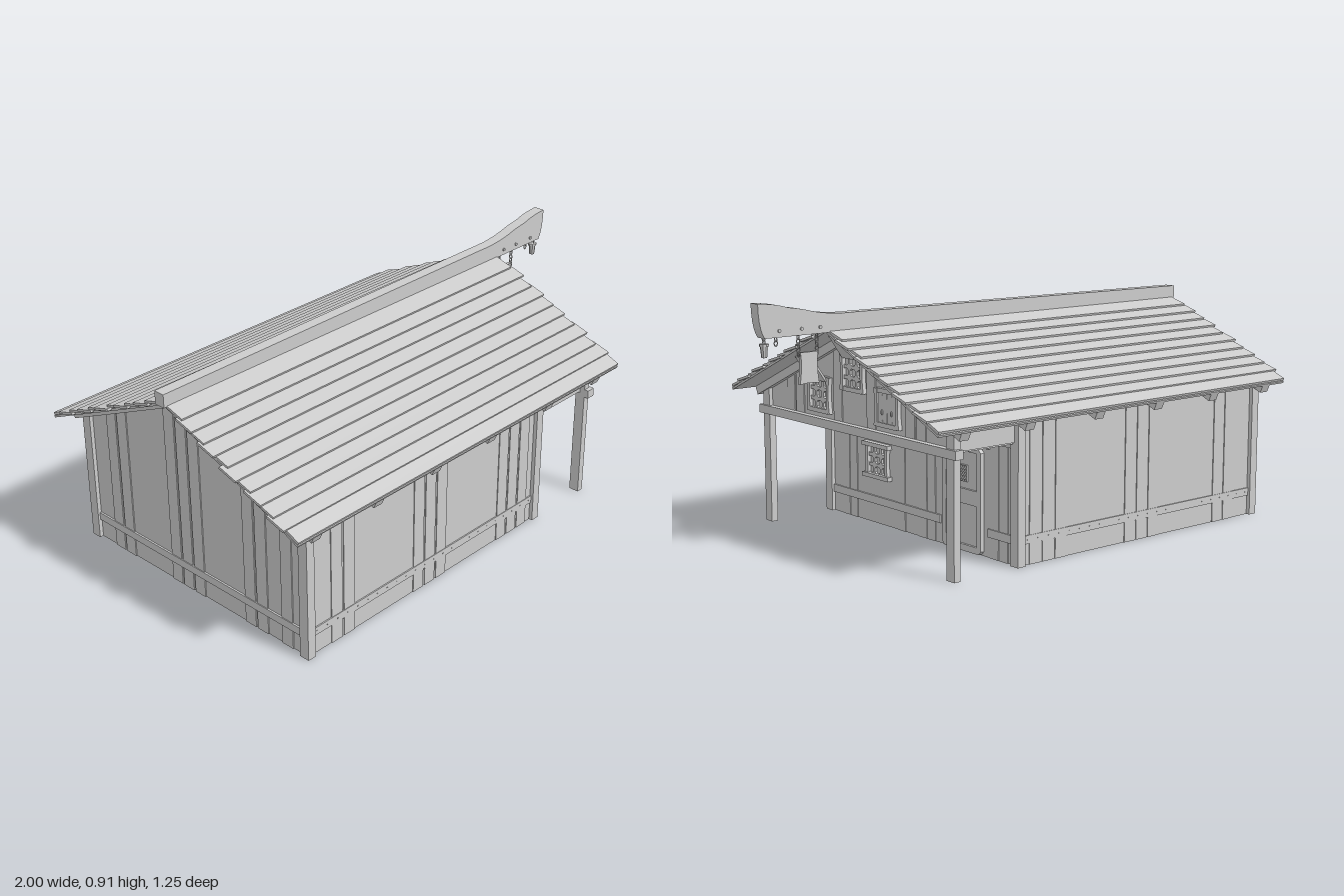
import * as THREE from 'three';

const mat = new THREE.MeshStandardMaterial({ color: 0xcccccc, side: THREE.DoubleSide, flatShading: true });
const SLOPE = 0.45, PITCH = Math.atan(SLOPE);
const roofY = (z) => 0.79 - SLOPE * Math.abs(z); // top line of the rafters

function add(parent, name, geo, x = 0, y = 0, z = 0) {
  const m = new THREE.Mesh(geo, mat);
  m.name = name;
  m.position.set(x, y, z);
  parent.add(m);
  return m;
}
// box given by its limits on each axis
function block(parent, name, x0, x1, y0, y1, z0, z1) {
  return add(parent, name, new THREE.BoxGeometry(x1 - x0, y1 - y0, z1 - z0), (x0 + x1) / 2, (y0 + y1) / 2, (z0 + z1) / 2);
}
function poly(pts, P = THREE.Shape) {
  return new P(pts.map(([x, y]) => new THREE.Vector2(x, y)));
}
const rect = (x0, x1, y0, y1, P) => poly([[x0, y0], [x1, y0], [x1, y1], [x0, y1]], P);
// rectangle with cut corners
const chamfer = (x0, x1, y0, y1, c, P) => poly([[x0 + c, y0], [x1 - c, y0], [x1, y0 + c], [x1, y1 - c],
  [x1 - c, y1], [x0 + c, y1], [x0, y1 - c], [x0, y0 + c]], P);
const extrude = (shape, depth) => new THREE.ExtrudeGeometry(shape, { depth, bevelEnabled: false, curveSegments: 5 });
// plate with a grid of openings
function lattice(w, h, nx, ny, bar) {
  const s = rect(-w / 2, w / 2, -h / 2, h / 2);
  for (let i = 0; i < nx; i++) for (let j = 0; j < ny; j++) {
    const x = -w / 2 + i * w / nx, y = -h / 2 + j * h / ny;
    s.holes.push(chamfer(x + bar, x + w / nx - bar, y + bar, y + h / ny - bar, bar, THREE.Path));
  }
  return s;
}
// group whose local xy plane lies on a wall facing +x
function onGable(parent, name, x, y, z) {
  const g = new THREE.Group();
  g.name = name;
  g.position.set(x, y, z);
  g.rotation.y = Math.PI / 2;
  parent.add(g);
  return g;
}

function buildWindow(parent, x, y, z, { flap = false, closed = false, lower = false }) {
  const g = onGable(parent, 'window', x, y, z);
  if (closed) {
    for (const s of [-1, 1]) {
      block(g, 'shutter', s * 0.027 - 0.026, s * 0.027 + 0.026, -0.055, 0.055, 0, 0.01);
      const knob = add(g, 'shutterHandle', new THREE.SphereGeometry(0.005, 6, 5), s * 0.027, -0.015, 0.012);
      knob.scale.y = 2;
      for (const r of [-1, 1]) block(g, 'shutterNail', s * 0.027 - 0.002, s * 0.027 + 0.002, r * 0.045 - 0.002, r * 0.045 + 0.002, 0.01, 0.012);
    }
  } else add(g, 'windowGrid', extrude(lattice(0.125, 0.115, 3, 3, 0.006), 0.008));
  // bowed side posts
  for (const s of [-1, 1]) {
    const p = new THREE.Shape();
    p.moveTo(s * 0.072, -0.066);
    p.quadraticCurveTo(s * 0.058, 0, s * 0.072, 0.066);
    p.lineTo(s * 0.052, 0.066);
    p.lineTo(s * 0.052, -0.066);
    add(g, 'windowPost', extrude(p, 0.015));
    const w = lower ? 0.08 : 0.056;
    block(g, 'windowRail', -w, w, s * 0.06 - 0.008, s * 0.06 + 0.008, 0, lower ? 0.022 : 0.014);
  }
  // propped-open flap
  if (flap) {
    const f = add(g, 'openShutter', new THREE.BoxGeometry(0.105, 0.105, 0.008), 0, 0.095, 0.042);
    f.rotation.x = 0.6;
  }
}

function buildDoor(parent) {
  const g = onGable(parent, 'door', 0.316, 0, -0.268);
  const s = chamfer(-0.107, 0.107, 0.004, 0.382, 0.013);
  s.holes.push(rect(-0.085, 0.085, 0.028, 0.176, THREE.Path), rect(-0.085, 0.085, 0.23, 0.365, THREE.Path));
  add(g, 'doorFrame', extrude(s, 0.016));
  block(g, 'doorPanel', -0.09, 0.09, 0.02, 0.37, 0, 0.007);
  add(g, 'doorGrille', extrude(lattice(0.056, 0.06, 5, 5, 0.002), 0.008), 0, 0.285, 0.007);
  block(g, 'doorLintel', -0.14, 0.14, 0.388, 0.41, 0, 0.01);
}

function buildWalls(g) {
  for (const s of [-1, 1]) {
    const side = (name, x0, x1, y0, y1, a, b) => block(g, name, x0, x1, y0, y1, Math.min(s * a, s * b), Math.max(s * a, s * b));
    side('sideWall', -0.885, 0.315, 0, 0.53, 0.535, 0.555);
    side('porchSide', 0.315, 0.59, 0.435, 0.53, 0.535, 0.55);
    for (const x of [-0.9, 0.295]) side('cornerPost', x, x + 0.035, 0, 0.53, 0.53, 0.57);
    side('porchPost', 0.583, 0.61, 0, 0.52, 0.53, 0.57);
    side('sideRail', -0.88, 0.31, 0.075, 0.105, 0.55, 0.56);
    for (const x of [-0.75, -0.69, -0.34, -0.28, -0.22, 0.12, 0.18, 0.24]) side('sideBoard', x - 0.026, x + 0.026, 0, 0.53, 0.55, 0.558);
    for (let i = 0; i < 24; i++) side('nail', -0.85 + i * 0.049, -0.847 + i * 0.049, 0.089, 0.092, 0.56, 0.562);
  }
  // back gable and overhanging front gable
  const gable = (y0) => {
    const e = 0.55;
    return poly([[-e, y0], [e, y0], [e, roofY(e) - 0.005], [0, roofY(0) - 0.005], [-e, roofY(e) - 0.005]]);
  };
  const back = onGable(g, 'backWall', -0.885, 0, 0);
  add(back, 'backGable', extrude(gable(0), 0.02));
  const front = onGable(g, 'upperFrontWall', 0.58, 0, 0);
  add(front, 'frontGable', extrude(gable(0.43), 0.015));
  block(g, 'frontWall', 0.295, 0.315, 0, 0.44, -0.54, 0.54);
  block(g, 'porchCeiling', 0.3, 0.6, 0.428, 0.442, -0.54, 0.54);
  block(g, 'porchBeam', 0.583, 0.618, 0.417, 0.449, -0.587, 0.587);
  // vertical boards and rails on the gable ends
  for (const z of [-0.42, -0.36, -0.1, -0.04, 0.02, 0.28, 0.34, 0.46]) block(g, 'backBoard', -0.889, -0.88, 0, roofY(Math.abs(z) + 0.026) - 0.01, z - 0.026, z + 0.026);
  for (const z of [-0.48, -0.43, -0.08, -0.03, 0.1, 0.4, 0.45]) block(g, 'frontBoard', 0.31, 0.318, 0, 0.43, z - 0.023, z + 0.023);
  for (const z of [-0.38, -0.32, -0.1, 0.1, 0.34, 0.4]) block(g, 'gableBoard', 0.59, 0.598, 0.45, roofY(Math.abs(z) + 0.026) - 0.01, z - 0.026, z + 0.026);
  block(g, 'backRail', -0.892, -0.88, 0.075, 0.105, -0.53, 0.53);
  block(g, 'frontRail', 0.31, 0.322, 0.075, 0.105, -0.135, 0.53);
  block(g, 'frontRail', 0.31, 0.322, 0.075, 0.105, -0.53, -0.4);
  block(g, 'frontTrim', 0.31, 0.322, 0.41, 0.43, -0.53, 0.53);
}

function buildRoof(g) {
  const rows = 11, cos = Math.cos(PITCH);
  for (const s of [-1, 1]) {
    // rafters with square-cut ends
    for (const x of [-0.89, -0.6, -0.31, -0.015, 0.31, 0.595]) {
      const r = add(g, 'rafter', new THREE.BoxGeometry(0.04, 0.034, 0.61 / cos), x, roofY(0.305) - 0.017, s * 0.305);
      r.rotation.x = s * PITCH;
    }
    const deck = add(g, 'roofDeck', new THREE.BoxGeometry(1.7, 0.008, 0.62 / cos), -0.135, roofY(0.31) + 0.003, s * 0.31);
    deck.rotation.x = s * PITCH;
    // overlapping plank courses, each lifted at its lower edge
    for (let i = 0; i < rows; i++) {
      const z = 0.585 - i * 0.053, wide = i % 2;
      const p = add(g, 'roofPlank', new THREE.BoxGeometry(wide ? 1.722 : 1.7, 0.009, 0.08), -0.135 - (i % 3) * 0.003, roofY(z) + 0.014, s * z);
      p.rotation.x = s * (PITCH - (i ? 0.13 : 0.03));
    }
  }
  // ridge beam with a rising carved end
  const ridge = new THREE.Shape();
  ridge.moveTo(-1, 0.79);
  ridge.lineTo(0.975, 0.79);
  ridge.quadraticCurveTo(0.998, 0.82, 1, 0.908);
  ridge.quadraticCurveTo(0.93, 0.905, 0.88, 0.888);
  ridge.quadraticCurveTo(0.82, 0.88, 0.78, 0.868);
  ridge.quadraticCurveTo(0.7, 0.85, 0.6, 0.853);
  ridge.lineTo(-1, 0.84);
  add(g, 'ridgeBeam', extrude(ridge, 0.044), 0, 0, -0.022);
}

function chain(parent, x, yTop, yBottom) {
  const n = Math.max(1, Math.round((yTop - yBottom) / 0.014));
  for (let i = 0; i < n; i++) {
    const l = add(parent, 'chainLink', new THREE.TorusGeometry(0.007, 0.002, 5, 8), x, yTop - (i + 0.5) * (yTop - yBottom) / n, 0);
    l.scale.y = 1.35;
    l.rotation.y = (i % 2) * Math.PI / 2;
  }
}

function buildHangings(g) {
  // hanging board with hollowed sides
  const s = new THREE.Shape();
  s.moveTo(0.748, 0.617);
  s.quadraticCurveTo(0.787, 0.625, 0.828, 0.617);
  s.quadraticCurveTo(0.816, 0.675, 0.824, 0.728);
  s.lineTo(0.752, 0.728);
  s.quadraticCurveTo(0.76, 0.675, 0.748, 0.617);
  add(g, 'hangingBoard', extrude(s, 0.014), 0, 0, -0.007);
  for (const x of [0.752, 0.828]) chain(g, x, 0.805, 0.715);
  chain(g, 0.918, 0.805, 0.76);
  chain(g, 0.965, 0.797, 0.768);
  for (const x of [0.752, 0.828, 0.918]) add(g, 'chainPin', new THREE.CylinderGeometry(0.006, 0.006, 0.054, 8), x, 0.812, 0).rotation.x = Math.PI / 2;
  // small lantern
  add(g, 'lantern', new THREE.CylinderGeometry(0.014, 0.01, 0.04, 8), 0.965, 0.743, 0);
  add(g, 'lanternCap', new THREE.CylinderGeometry(0.017, 0.017, 0.008, 8), 0.965, 0.766, 0);
}

export function createModel() {
  const g = new THREE.Group();
  g.name = 'timberHouse';
  buildWalls(g);
  buildRoof(g);
  buildDoor(g);
  buildWindow(g, 0.595, 0.535, 0.208, { flap: true });
  buildWindow(g, 0.595, 0.635, 0, { flap: true });
  buildWindow(g, 0.595, 0.535, -0.202, { closed: true });
  buildWindow(g, 0.315, 0.245, 0.24, { lower: true });
  buildHangings(g);
  return g;
}
